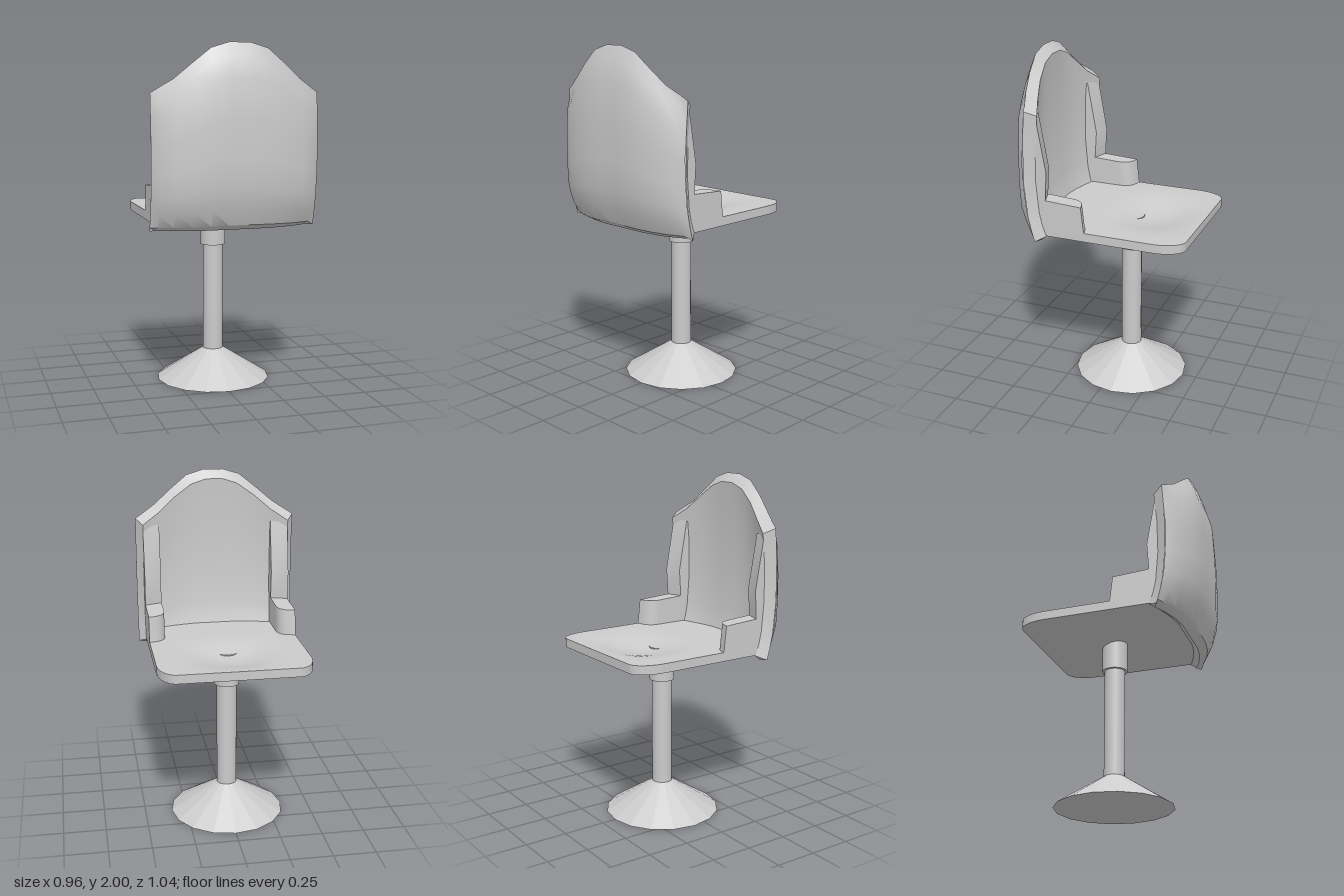
import * as THREE from 'three';
import { toCreasedNormals } from 'three/addons/utils/BufferGeometryUtils.js';

const smooth = new THREE.MeshStandardMaterial({ color: 0xcccccc, side: THREE.DoubleSide });
const flat = new THREE.MeshStandardMaterial({ color: 0xcccccc, flatShading: true });

function addMesh(parent, name, geometry, material = smooth) {
  const mesh = new THREE.Mesh(geometry, material);
  mesh.name = name;
  parent.add(mesh);
  return mesh;
}

// Skin between closed rings of equal point count
function loft(rings, crease = 0.6) {
  const n = rings[0].length, index = [];
  for (let i = 0; i < rings.length - 1; i++) {
    for (let j = 0; j < n; j++) {
      const a = i * n + j, b = i * n + (j + 1) % n, c = a + n, d = b + n;
      index.push(a, c, b, b, c, d);
    }
  }
  const g = new THREE.BufferGeometry();
  g.setAttribute('position', new THREE.Float32BufferAttribute(rings.flat(2), 3));
  g.setIndex(index);
  return toCreasedNormals(g, crease);
}

// Piecewise linear lookup in [t, value] pairs
function sample(pairs, t) {
  for (let i = 1; i < pairs.length; i++) {
    const [t0, v0] = pairs[i - 1], [t1, v1] = pairs[i];
    if (t <= t1) return v0 + (v1 - v0) * (t - t0) / (t1 - t0);
  }
  return pairs[pairs.length - 1][1];
}

// Curved backrest shell: one ring per column across the width
function backrestGeometry() {
  const inner = [[0, 0.36], [0.1, 0.385], [0.2, 0.4], [0.45, 0.415], [0.75, 0.412], [1, 0.395]];
  const outer = [[1, 0.445], [0.92, 0.48], [0.82, 0.508], [0.6, 0.517], [0.4, 0.517],
    [0.24, 0.51], [0.12, 0.48], [0.03, 0.44], [0, 0.39]];
  const edge = [[0, 0.33], [0.15, 0.36], [0.3, 0.38], [0.6, 0.39], [1, 0.37]];
  // inner x, outer x, z setback, inner top, outer top
  const columns = [
    [0.05, 0.06, 0, 1.95, 2.0], [0.14, 0.16, 0, 1.92, 1.97], [0.24, 0.26, 0.015, 1.85, 1.89],
    [0.34, 0.36, 0.045, 1.765, 1.805], [0.44, 0.44, 0.085, 1.70, 1.755],
  ];
  const side = (s) => {
    const rings = columns.map(([xi, xo, dz, ti, to]) => [
      ...inner.map(([t, z]) => [s * xi, 1 + t * (ti - 1), z - dz]),
      ...outer.map(([t, z]) => [s * xo, 0.975 + t * (to - 0.975), z - dz * (t === 1 ? 0.75 : 1)]),
    ]);
    // both faces meet in a thin edge
    rings.push([...inner, ...outer].map(([t]) => [s * 0.48, 0.975 + t * 0.755, sample(edge, t)]));
    return rings;
  };
  return loft([...side(1).reverse(), ...side(-1)]);
}

// Seat slab with rounded front corners, a dished top and a bulging underside
function seatGeometry() {
  const bump = (v, half) => (Math.abs(v) < half ? Math.cos(Math.PI * v / (2 * half)) ** 2 : 0);
  const cols = 32, rings = [];
  const zs = [];
  for (let i = 0; i <= 8; i++) zs.push(-0.35 - 0.17 * Math.cos(i * Math.PI / 16));
  for (let i = 1; i <= 20; i++) zs.push(-0.35 + 0.73 * i / 20);
  const ring = (z, closed) => {
    const k = Math.min(0, (z + 0.35) / 0.17);
    const w = 0.34 + 0.1 * Math.sqrt(Math.max(0, 1 - k * k));
    const row = (bottom) => Array.from({ length: cols + 1 }, (_, j) => {
      const x = w * (2 * j / cols - 1);
      const dip = 0.05 * bump(x, 0.36) * bump(z + 0.23, 0.31);
      const y = closed ? 1.028 : (bottom ? 1.003 : 1.055) - dip;
      return [x, y, Math.min(z, 0.38 - 0.09 * (x / 0.44) ** 2)];
    });
    return [...row(false), ...row(true).reverse()];
  };
  rings.push(ring(zs[0], true), ...zs.map((z) => ring(z, false)), ring(zs[zs.length - 1], true));
  return loft(rings);
}

// Side pad: yz profile extruded across x, slanting back towards the middle
function padGeometry(s) {
  const shape = new THREE.Shape([[0.32, 1.69], [0.265, 1.38], [0.275, 1.22], [0.285, 1.01],
    [0.34, 1.01], [0.36, 1.2], [0.36, 1.66]].map(([z, y]) => new THREE.Vector2(z, y)));
  const g = new THREE.ExtrudeGeometry(shape, { depth: 0.1, bevelEnabled: false });
  g.rotateY(-Math.PI / 2);
  g.translate(s > 0 ? 0.44 : -0.34, 0, 0);
  const p = g.attributes.position;
  for (let i = 0; i < p.count; i++) {
    p.setZ(i, p.getZ(i) + 0.3 * (0.44 - Math.abs(p.getX(i))));
  }
  return toCreasedNormals(g, 0.5);
}

// Armrest block with a rounded inner front corner and a leaning front
function armrestGeometry(s) {
  const shape = new THREE.Shape();
  shape.moveTo(s * 0.44, 0.04);
  shape.bezierCurveTo(s * 0.39, 0.05, s * 0.34, 0.06, s * 0.34, 0.135);
  shape.lineTo(s * 0.34, 0.36);
  shape.lineTo(s * 0.44, 0.31);
  shape.closePath();
  const g = new THREE.ExtrudeGeometry(shape, { depth: 0.2, bevelEnabled: false, curveSegments: 8 });
  g.rotateX(Math.PI / 2);
  g.translate(0, 1.21, 0);
  const p = g.attributes.position;
  for (let i = 0; i < p.count; i++) {
    const z = p.getZ(i);
    if (p.getY(i) < 1.1) continue;
    p.setY(i, 1.205 + 0.05 * (z - 0.04));
    if (z < 0.2) p.setZ(i, z + 0.022);
  }
  return toCreasedNormals(g, 0.5);
}

export function createModel() {
  const model = new THREE.Group();
  model.name = 'pedestalChair';

  // Pedestal
  const pedestal = new THREE.Group();
  pedestal.name = 'pedestal';
  pedestal.position.z = -0.075;
  model.add(pedestal);
  const parts = [
    ['base', 0.06, 0.34, 0, 0.18, flat],
    ['post', 0.06, 0.06, 0.17, 0.83, smooth],
    ['collar', 0.075, 0.075, 0.82, 1.02, smooth],
  ];
  for (const [name, top, bottom, y0, y1, material] of parts) {
    const g = new THREE.CylinderGeometry(top, bottom, y1 - y0, 16);
    addMesh(pedestal, name, g, material).position.y = (y0 + y1) / 2;
  }

  // Seat and backrest
  addMesh(model, 'seat', seatGeometry());
  addMesh(model, 'backrest', backrestGeometry());

  // Mirrored side pads and armrests
  for (const [label, s] of [['left', 1], ['right', -1]]) {
    addMesh(model, label + 'SidePad', padGeometry(s));
    addMesh(model, label + 'Armrest', armrestGeometry(s));
  }
  return model;
}
